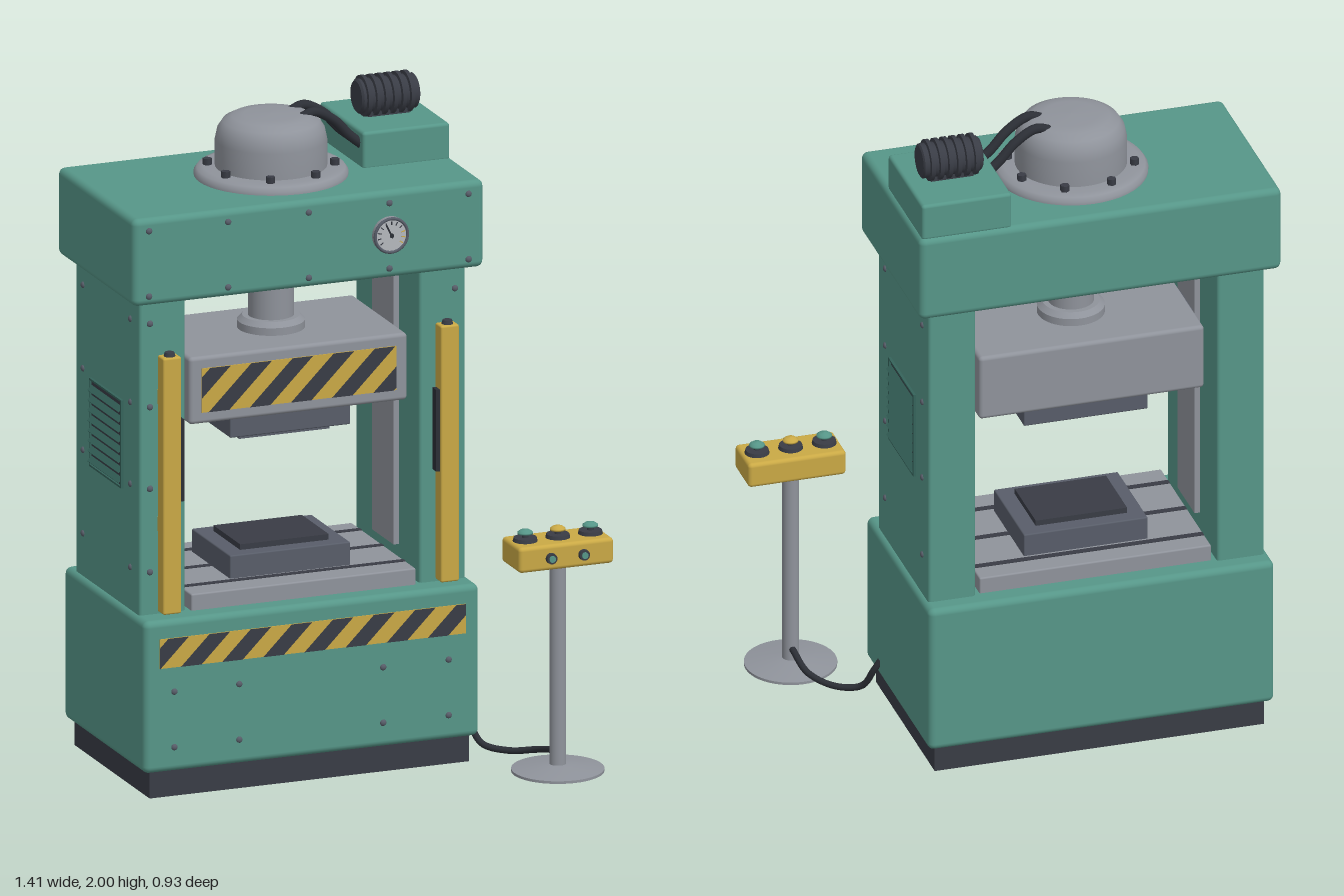
import * as THREE from 'three';
import { RoundedBoxGeometry } from 'three/addons/geometries/RoundedBoxGeometry.js';

const mat = (name, color, extra = {}) => new THREE.MeshStandardMaterial({ name, color, ...extra });

export function createModel() {
  const root = new THREE.Group();
  root.name = 'hydraulicPress';
  const green = mat('machineGreen', 0x569688);
  const darkGreen = mat('louverGreen', 0x35635b);
  const yellow = mat('safetyYellow', 0xcaa945);
  const steel = mat('steelGrey', 0x8f939b);
  const tool = mat('toolSteel', 0x585d69);
  const dark = mat('charcoal', 0x393c45);
  const rubber = mat('rubberBlack', 0x2c2f36);
  const dial = mat('dialFace', 0xb4b8bd);

  const CX = -0.155, CZ = -0.155;
  const add = (name, geo, m, x = 0, y = 0, z = 0, parent = root) => {
    const mesh = new THREE.Mesh(geo, m);
    mesh.name = name;
    mesh.position.set(x, y, z);
    parent.add(mesh);
    return mesh;
  };
  // Box given by its limits on each axis, with optional rounded edges
  const box = (name, m, x0, x1, y0, y1, z0, z1, r = 0) => {
    const s = [x1 - x0, y1 - y0, z1 - z0];
    const geo = r ? new RoundedBoxGeometry(...s, 3, r) : new THREE.BoxGeometry(...s);
    return add(name, geo, m, (x0 + x1) / 2, (y0 + y1) / 2, (z0 + z1) / 2);
  };
  const cyl = (name, m, r0, r1, h, x, y, z, n = 32) =>
    add(name, new THREE.CylinderGeometry(r0, r1, h, n), m, x, y, z);
  const lathe = (name, m, pts, x, y, z, n = 48) =>
    add(name, new THREE.LatheGeometry(pts.map(p => new THREE.Vector2(...p)), n), m, x, y, z);
  const tube = (name, m, pts, r) =>
    add(name, new THREE.TubeGeometry(new THREE.CatmullRomCurve3(pts.map(p => new THREE.Vector3(...p))), 32, r, 10), m);

  // Frame
  box('plinth', dark, -0.66, 0.35, 0, 0.09, -0.44, 0.145);
  box('bed', green, -0.685, 0.375, 0.08, 0.545, -0.465, 0.165, 0.02);
  box('crown', green, -0.71, 0.4, 1.505, 1.772, -0.455, 0.14, 0.02);

  // Small domed bolts on front and side faces
  const boltGeo = new THREE.SphereGeometry(0.01, 12, 5, 0, Math.PI * 2, 0, Math.PI / 2);
  const bolt = (x, y, z, side = 0) => {
    const b = add('frameBolt', boltGeo, tool, x, y, z);
    if (side) b.rotation.z = -side * Math.PI / 2;
    else b.rotation.x = Math.PI / 2;
    b.scale.y = 0.7;
  };
  for (const x of [-0.66, -0.41, -0.155, 0.1, 0.35]) for (const y of [1.535, 1.735]) bolt(x, y, 0.14);
  for (const x of [-0.59, -0.385, 0.07, 0.277]) for (const y of [0.155, 0.325]) bolt(x, y, 0.165);

  // Mirrored columns, guide rails, louvers and light guards
  for (const s of [-1, 1]) {
    const sx = (name, m, a, b, y0, y1, z0, z1, r) =>
      box(name, m, CX + Math.min(s * a, s * b), CX + Math.max(s * a, s * b), y0, y1, z0, z1, r);
    sx('column', green, 0.37, 0.515, 0.53, 1.52, -0.41, 0.09, 0.01);
    sx('guideRail', steel, 0.353, 0.372, 0.62, 1.505, -0.24, -0.07);
    sx('guideShoe', tool, 0.343, 0.355, 1.13, 1.285, -0.22, -0.09);
    for (const y of [0.675, 0.93, 1.18, 1.435]) {
      bolt(CX + s * 0.482, y, 0.09);
      for (const z of [0.02, -0.35]) bolt(CX + s * 0.515, y, z, s);
    }
    sx('louverBack', dark, 0.512, 0.517, 0.905, 1.165, -0.283, -0.037);
    for (const z of [-0.285, -0.041]) sx('louverFrame', darkGreen, 0.512, 0.523, 0.9, 1.17, z, z + 0.006);
    for (const y of [0.9, 1.164]) sx('louverFrame', darkGreen, 0.512, 0.523, y, y + 0.006, -0.285, -0.035);
    for (let i = 0; i < 8; i++) {
      const slat = add('louverSlat', new THREE.BoxGeometry(0.024, 0.005, 0.238), darkGreen,
        CX + s * 0.521, 0.925 + i * 0.031, -0.16);
      slat.rotation.z = -s * 0.75;
    }
    sx('lightGuardPost', yellow, 0.41, 0.468, 0.56, 1.345, 0.113, 0.16, 0.006);
    sx('lightGuardLens', rubber, 0.398, 0.411, 0.9, 1.15, 0.122, 0.152);
    cyl('lightGuardCap', dark, 0.014, 0.018, 0.014, CX + s * 0.439, 1.35, 0.137, 16);
    for (const y of [0.82, 1.21]) sx('lightGuardBracket', yellow, 0.42, 0.458, y - 0.022, y + 0.022, 0.085, 0.116);
  }

  // Hazard panel: yellow plate with slanting dark bands trimmed to its edges
  const hazard = (name, x0, y0, w, h, z, period) => {
    box(name, yellow, x0, x0 + w, y0, y0 + h, z - 0.002, z + 0.003);
    const clamp = v => Math.min(w, Math.max(0, v));
    for (let a = -h + period * 0.2; a < w; a += period) {
      const b = a + period / 2;
      if (b + h <= 0) continue;
      const ys = [...new Set([0, h, -a, w - a, -b, w - b])].filter(y => y >= 0 && y <= h).sort((p, q) => p - q);
      const pts = ys.map(y => new THREE.Vector2(clamp(b + y), y))
        .concat(ys.slice().reverse().map(y => new THREE.Vector2(clamp(a + y), y)))
        .filter((p, i, all) => i === 0 || p.distanceTo(all[i - 1]) > 1e-5);
      if (pts.length > 2) add(name + 'Stripe', new THREE.ShapeGeometry(new THREE.Shape(pts)), dark, x0, y0, z + 0.005);
    }
  };
  hazard('bedHazard', -0.637, 0.4, 0.967, 0.09, 0.165, 0.13);
  hazard('ramHazard', -0.462, 1.135, 0.615, 0.135, 0.06, 0.13);

  // Ram, rod and upper die
  box('ram', steel, -0.5, 0.19, 1.1, 1.305, -0.365, 0.06, 0.012);
  cyl('ramRod', steel, 0.068, 0.068, 0.22, CX, 1.42, CZ);
  lathe('rodCollar', steel, [[0.1, 0], [0.1, 0.025], [0.1, 0.025], [0.085, 0.04], [0.085, 0.04], [0.06, 0.04]], CX, 1.303, CZ);
  box('upperDie', tool, CX - 0.19, CX + 0.19, 1.025, 1.105, CZ - 0.15, CZ + 0.15, 0.004);
  box('upperDieFace', tool, CX - 0.143, CX + 0.143, 1.005, 1.03, CZ - 0.105, CZ + 0.105);

  // Bolster with slots, and lower die
  box('bolster', steel, -0.51, 0.2, 0.54, 0.595, -0.4, 0.1, 0.005);
  for (const z of [-0.17, 0, 0.17]) box('bolsterSlot', dark, -0.508, 0.198, 0.59, 0.597, CZ + z - 0.01, CZ + z + 0.01);
  box('lowerDie', tool, CX - 0.19, CX + 0.19, 0.59, 0.665, CZ - 0.15, CZ + 0.15, 0.004);
  box('lowerDieFace', dark, CX - 0.14, CX + 0.14, 0.66, 0.682, CZ - 0.105, CZ + 0.105);

  // Cylinder dome on the crown
  lathe('domeFlange', steel, [[0.227, 0], [0.227, 0.012], [0.218, 0.024], [0.2, 0.03], [0.15, 0.03]], CX, 1.77, CZ);
  lathe('dome', steel, [[0.165, 0], [0.165, 0.085], [0.158, 0.118], [0.142, 0.142], [0.115, 0.156], [0.08, 0.161], [0, 0.163]], CX, 1.795, CZ);
  for (let i = 0; i < 8; i++) {
    const a = (i + 0.5) * Math.PI / 4;
    cyl('flangeBolt', dark, 0.014, 0.014, 0.022, CX + 0.187 * Math.cos(a), 1.808, CZ + 0.187 * Math.sin(a), 6);
  }

  // Power unit, ribbed motor and hoses
  box('powerUnit', green, 0.115, 0.39, 1.765, 1.88, -0.445, -0.103, 0.01);
  const profile = [[0, -0.092], [0.046, -0.092], [0.052, -0.086]];
  for (let i = 0; i < 6; i++) {
    const t = -0.07 + i * 0.027;
    profile.push([0.052, t - 0.008], [0.062, t - 0.006], [0.062, t + 0.006], [0.052, t + 0.008]);
  }
  profile.push([0.052, 0.088], [0.046, 0.092], [0, 0.092]);
  const motor = lathe('motor', dark, profile.flatMap(p => [p, p]), 0.255, 1.938, -0.275, 32);
  motor.rotation.z = -Math.PI / 2;
  box('motorFoot', dark, 0.19, 0.32, 1.875, 1.9, -0.305, -0.245);
  for (const z of [-0.205, -0.125])
    tube('hydraulicHose', rubber, [[-0.075, 1.94, z], [-0.03, 1.953, z - 0.004], [0.035, 1.92, z - 0.011], [0.085, 1.868, z - 0.014], [0.125, 1.835, z - 0.015]], 0.015);

  // Pressure gauge, facing forward
  const gauge = new THREE.Group();
  gauge.name = 'pressureGauge';
  gauge.position.set(0.1, 1.64, 0.14);
  root.add(gauge);
  add('gaugeBody', new THREE.CylinderGeometry(0.055, 0.055, 0.03, 40), steel, 0, 0, 0, gauge).rotation.x = Math.PI / 2;
  add('gaugeRim', new THREE.TorusGeometry(0.051, 0.005, 8, 40), tool, 0, 0, 0.015, gauge);
  add('gaugeDial', new THREE.CircleGeometry(0.047, 40), dial, 0, 0, 0.016, gauge);
  for (let i = 0; i < 11; i++) {
    const a = (-0.2 + 0.14 * i) * Math.PI;
    add('gaugeTick', new THREE.BoxGeometry(0.011, 0.003, 0.002), i < 3 ? yellow : dark,
      0.038 * Math.cos(a), 0.038 * Math.sin(a), 0.017, gauge).rotation.z = a;
  }
  add('gaugeNeedle', new THREE.BoxGeometry(0.005, 0.046, 0.002), rubber, -0.007, 0.013, 0.018, gauge).rotation.z = 0.45;
  add('gaugeHub', new THREE.CircleGeometry(0.007, 16), rubber, 0, 0, 0.02, gauge);

  // Control stand with push buttons
  const PX = 0.555, PZ = 0.33;
  lathe('standBase', steel, [[0, 0], [0.137, 0], [0.137, 0], [0.137, 0.008], [0.137, 0.008], [0.04, 0.022], [0, 0.022]], PX, 0, PZ);
  cyl('standPost', steel, 0.025, 0.025, 0.63, PX, 0.33, PZ, 24);
  box('controlBox', yellow, 0.405, 0.705, 0.637, 0.715, 0.26, 0.4, 0.012);
  for (const i of [-1, 0, 1]) {
    const x = PX + i * 0.103, m = i ? green : yellow;
    cyl('buttonCollar', dark, 0.034, 0.037, 0.012, x, 0.72, PZ, 24);
    cyl('buttonStem', dark, 0.01, 0.01, 0.02, x, 0.732, PZ, 16);
    lathe('buttonCap', m, [[0, 0], [0.023, 0], [0.023, 0.005], [0.015, 0.011], [0, 0.014]], x, 0.737, PZ, 24);
  }
  for (const x of [0.505, 0.608]) {
    cyl('frontButtonCollar', dark, 0.016, 0.017, 0.018, x, 0.675, 0.403, 20).rotation.x = Math.PI / 2;
    cyl('frontButton', green, 0.01, 0.01, 0.02, x, 0.675, 0.406, 20).rotation.x = Math.PI / 2;
  }
  tube('controlCable', rubber, [[0.37, 0.135, 0.03], [0.388, 0.1, 0.04], [0.415, 0.03, 0.08], [0.48, 0.014, 0.13], [0.54, 0.03, 0.2], [0.557, 0.06, 0.315]], 0.01);
  return root;
}
